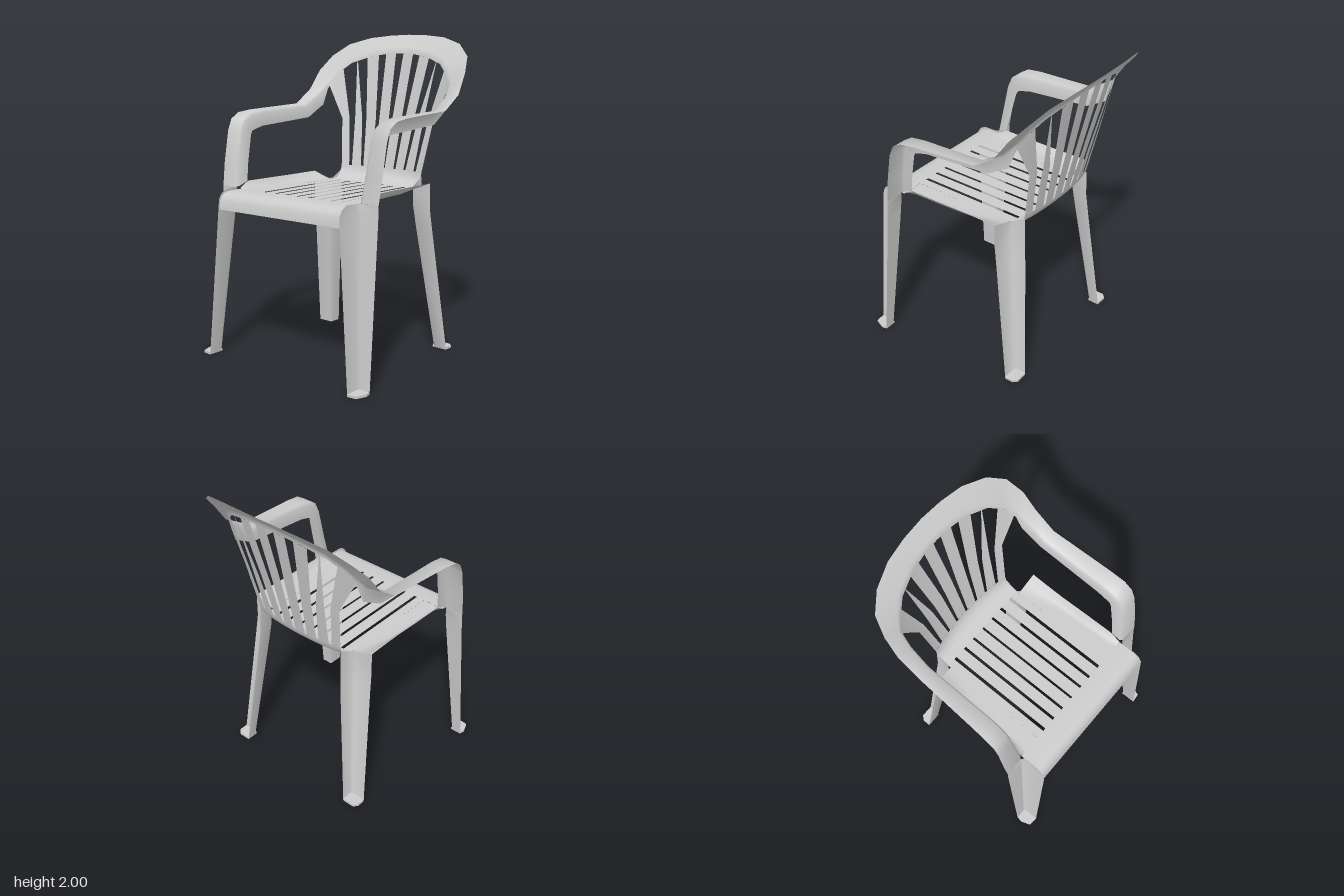
import * as THREE from 'three';
import { toCreasedNormals } from 'three/addons/utils/BufferGeometryUtils.js';

const material = new THREE.MeshStandardMaterial({ color: 0xcccccc, side: THREE.DoubleSide });
const V = (x, y, z) => new THREE.Vector3(x, y, z);
const flip = (p, side) => V(p.x * side, p.y, p.z);

// Thin sheet through rows of points, each row with the same count.
function sheet(name, rows, side = 1) {
  const n = rows[0].length, index = [];
  const points = rows.flat().map(p => flip(p, side));
  for (let r = 0; r < rows.length - 1; r++)
    for (let c = 0; c < n - 1; c++) {
      const a = r * n + c, b = a + 1, d = a + n, e = d + 1;
      if (side > 0) index.push(a, d, b, b, d, e);
      else index.push(a, b, d, b, e, d);
    }
  const geometry = new THREE.BufferGeometry().setFromPoints(points);
  geometry.setIndex(index);
  const mesh = new THREE.Mesh(toCreasedNormals(geometry, 1.05), material);
  mesh.name = name;
  return mesh;
}

// Angle section a - corner - b with a softened corner.
const angle = (a, c, b) => [a, c.clone().lerp(a, 0.12), c.clone().lerp(b, 0.18), b];

// Evenly spaced row of points from x0 to x1.
const span = (x0, x1, n, fn) =>
  Array.from({ length: n + 1 }, (_, i) => fn(x0 + (x1 - x0) * i / n));

// Curved surface of the backrest.
const bow = x => 0.25 * x * x + 0.8 * x ** 4;
const backZ = (x, y) => -0.39 - 0.2275 * (y - 1.13) + bow(x);

// Inner edge of the top rim, from the side to the middle.
const arch = [[0.49, 1.70], [0.44, 1.77], [0.36, 1.84], [0.22, 1.885], [0.11, 1.9], [0, 1.905]];
const BAND = 0.028;
function archY(x) {
  for (let i = 0; i < arch.length - 1; i++) {
    const [xa, ya] = arch[i], [xb, yb] = arch[i + 1];
    if (x >= xb) return ya + (yb - ya) * (xa - x) / (xa - xb);
  }
  return 1.905;
}

// Armrests and top rim as one continuous band.
function makeRim() {
  const arm = [ // outer, corner, flange edge
    [[0.62, 1.05, 0.47], [0.485, 1.055, 0.47], [0.48, 1.085, 0.395]],
    [[0.628, 1.2, 0.447], [0.5, 1.2, 0.447], [0.495, 1.2, 0.37]],
    [[0.63, 1.4, 0.41], [0.51, 1.4, 0.41], [0.507, 1.37, 0.33]],
    [[0.63, 1.47, 0.38], [0.513, 1.47, 0.38], [0.51, 1.395, 0.315]],
    [[0.63, 1.507, 0.32], [0.513, 1.507, 0.32], [0.51, 1.408, 0.27]],
    [[0.625, 1.52, 0.22], [0.513, 1.52, 0.22], [0.51, 1.42, 0.22]],
    [[0.605, 1.54, -0.2], [0.513, 1.537, -0.2], [0.51, 1.45, -0.22]],
    [[0.605, 1.63, -0.34], [0.505, 1.615, -0.33], [0.5, 1.53, -0.36]],
  ].map(s => angle(...s.map(p => V(...p))));
  const outer = [[0.592, 1.76, -0.43], [0.55, 1.86, -0.52], [0.45, 1.938, -0.585],
    [0.3, 1.98, -0.635], [0.15, 1.995, -0.655], [0, 2, -0.662]];
  const top = arch.map(([x, y], i) => {
    const low = i === 0 ? 1.64 : y - BAND;
    return angle(V(...outer[i]), V(x, y, backZ(x, y)), V(x, low, backZ(x, low)));
  });
  const half = [...arm, ...top];
  const other = half.slice(0, -1).reverse().map(s => s.map(p => flip(p, -1)));
  return sheet('armrestsAndTopRim', [...half, ...other]);
}

// Slot centres and half widths at the bottom, bend and top; the last is the outer edge.
const backSlots = [
  [[0, 0.009], [0, 0.014], [0, 0.03]],
  [[0.09, 0.009], [0.105, 0.014], [0.138, 0.028]],
  [[0.175, 0.009], [0.21, 0.016], [0.285, 0.034]],
  [[0.265, 0.01], [0.3, 0.02], [0.367, 0.043]],
  [[0.33, 0], [0.372, 0], [0.49, 0]],
];

function makeBackrest() {
  const group = new THREE.Group();
  group.name = 'backrest';
  for (const side of [1, -1])
    for (let i = 0; i < 4; i++) {
      const rows = [0, 1, 2].map(k => {
        const [c0, h0] = backSlots[i][k], [c1, h1] = backSlots[i + 1][k];
        return span(c0 + h0, c1 - h1, 3, x => {
          const y = [1.13, 1.44, archY(x) - BAND][k];
          return V(x, y, backZ(x, y));
        });
      });
      group.add(sheet('backSlat', rows, side));
    }
  return group;
}

function makeSeat() {
  const group = new THREE.Group();
  group.name = 'seat';
  // rolled front edge
  const roll = [[0.46, 1.042], [0.55, 1.042], [0.59, 1.034], [0.615, 1.015], [0.63, 0.985], [0.637, 0.935]];
  group.add(sheet('seatFront', roll.map(([z, y]) => span(-0.48, 0.48, 12, x => V(x, y, z)))));
  // rear curve up into the backrest: z, y, share of the bow
  const rear = [[-0.26, 1.04, 0], [-0.32, 1.05, 0.4], [-0.36, 1.073, 0.8], [-0.383, 1.1, 1], [-0.39, 1.13, 1]];
  group.add(sheet('seatRear', rear.map(([z, y, k]) =>
    span(-0.33, 0.33, 12, x => V(x, y, z + k * bow(x))))));
  // raised side flaps: z, half width, start of the rise, height
  const flap = [[0.46, 0.48, 0.44, 0.005], [0.39, 0.48, 0.44, 0.045], [0.2, 0.477, 0.435, 0.045],
    [0, 0.472, 0.42, 0.045], [-0.12, 0.473, 0.38, 0.045], [-0.24, 0.475, 0.33, 0.045]];
  const slots = [0, 0.09, 0.175, 0.265, 0.33];
  const half = [0.007, 0.008, 0.009, 0.01, 0];
  for (const side of [1, -1]) {
    for (let i = 0; i < 4; i++) {
      const rows = [0.46, -0.26].map(z =>
        span(slots[i] + half[i], slots[i + 1] - half[i + 1], 1, x => V(x, z > 0 ? 1.042 : 1.04, z)));
      group.add(sheet('seatSlat', rows, side));
    }
    group.add(sheet('seatSide', flap.map(([z, w, x0, h]) =>
      span(0.33, w, 10, x => V(x, 1.041 + h * Math.max(0, (x - x0) / (w - x0)) ** 1.4, z))), side));
  }
  return group;
}

// Flat foot plate from an outline of x, z corners.
function makeFoot(outline, side) {
  const shape = new THREE.Shape(outline.map(([x, z]) => new THREE.Vector2(x * side, -z)));
  const geometry = new THREE.ExtrudeGeometry(shape, { depth: 0.015, bevelEnabled: false });
  const mesh = new THREE.Mesh(geometry.rotateX(-Math.PI / 2), material);
  mesh.name = 'foot';
  return mesh;
}

// Angle-section leg; each row: heights of the three edges, outer x, inner x, corner z, end z.
function makeLeg(name, rows, outline, side) {
  const group = new THREE.Group();
  group.name = name;
  group.add(sheet('legWalls', rows.map(([ys, xo, xi, zc, ze]) =>
    angle(V(xo, ys[0], zc), V(xi, ys[1], zc), V(xi, ys[2], ze))), side));
  group.add(makeFoot(outline, side));
  return group;
}

const frontRows = [
  [[1.05, 1.055, 1.055], 0.62, 0.48, 0.47, 0.575],
  [[1.035, 1.035, 1.035], 0.62, 0.48, 0.47, 0.615],
  [[1, 1, 1], 0.621, 0.48, 0.472, 0.638],
  [[0.93, 0.93, 0.93], 0.622, 0.484, 0.478, 0.642],
  [[0, 0, 0], 0.637, 0.56, 0.565, 0.668],
];
const frontFoot = [[0.56, 0.565], [0.635, 0.565], [0.643, 0.6], [0.62, 0.662], [0.56, 0.668]];
const rearRows = [
  [[1.086, 1.04, 1.1], 0.475, 0.33, -0.24, -0.352],
  [[0.93, 0.93, 0.93], 0.475, 0.333, -0.24, -0.357],
  [[0.8, 0.8, 0.8], 0.482, 0.345, -0.257, -0.369],
  [[0, 0, 0], 0.535, 0.432, -0.36, -0.44],
];
const rearFoot = [[0.432, -0.36], [0.535, -0.36], [0.535, -0.415], [0.51, -0.44], [0.432, -0.44]];

export function createModel() {
  const model = new THREE.Group();
  model.name = 'plasticArmchair';
  model.add(makeSeat(), makeBackrest(), makeRim());
  for (const side of [1, -1]) {
    const hand = side > 0 ? 'left' : 'right';
    model.add(makeLeg(hand + 'FrontLeg', frontRows, frontFoot, side));
    model.add(makeLeg(hand + 'RearLeg', rearRows, rearFoot, side));
  }
  return model;
}
